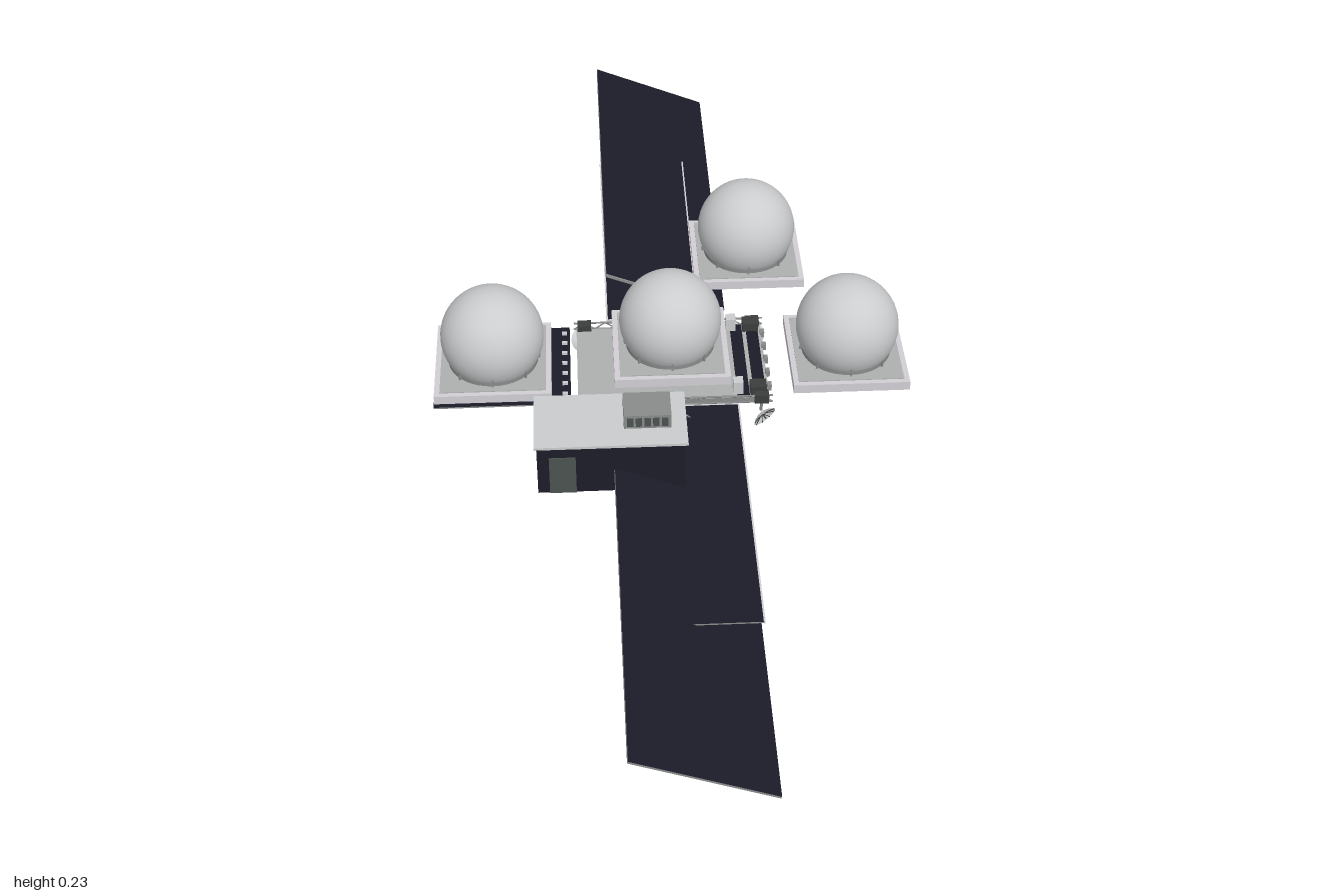
import * as THREE from 'three';

const mat = (name, color, side = THREE.FrontSide) => {
  const m = new THREE.MeshStandardMaterial({ color, side });
  m.name = name;
  return m;
};

export function createModel() {
  const root = new THREE.Group();
  root.name = 'station';
  const shell = mat('pale grey shell', 0xcaccce, THREE.DoubleSide);
  const pad = mat('pad rim grey', 0xd2cfd4);
  const plate = mat('plate grey', 0xaeb0b0);
  const steel = mat('steel grey', 0x8a8c8b);
  const dark = mat('dark grey', 0x3b3e3d);
  const navy = mat('navy panel', 0x1c1c29);
  const back = mat('panel backing', 0x50554f);
  const door = mat('door grey green', 0x4b5351);
  const brass = mat('brass', 0x8a7a50);
  const copper = mat('copper', 0xa8683a);

  const add = (parent, name, geo, material, x = 0, y = 0, z = 0) => {
    const m = new THREE.Mesh(geo, material);
    m.name = name;
    m.position.set(x, y, z);
    parent.add(m);
    return m;
  };
  const box = (parent, name, material, w, h, d, x, y, z) =>
    add(parent, name, new THREE.BoxGeometry(w, h, d), material, x, y, z);
  const rod = (parent, name, material, a, b, r) => {
    const p = new THREE.Vector3(...a), q = new THREE.Vector3(...b);
    const m = add(parent, name, new THREE.CylinderGeometry(r, r, p.distanceTo(q), 6), material);
    m.position.copy(p).add(q).multiplyScalar(0.5);
    m.quaternion.setFromUnitVectors(new THREE.Vector3(0, 1, 0), q.sub(p).normalize());
    return m;
  };
  const group = (name, x = 0, y = 0, z = 0, parent = root) => {
    const g = new THREE.Group();
    g.name = name;
    g.position.set(x, y, z);
    parent.add(g);
    return g;
  };

  // Truncated domes on square pads
  for (const [x, z] of [[-0.33, -0.003], [0, -0.035], [0.165, -0.33], [0.327, -0.003]]) {
    const g = group('domeUnit', x, 0, z);
    box(g, 'padSlab', [pad, pad, pad, plate, pad, pad], 0.214, 0.018, 0.214, 0, 0.065, 0);
    box(g, 'padTop', plate, 0.194, 0.002, 0.194, 0, 0.0745, 0);
    add(g, 'domeRing', new THREE.CylinderGeometry(0.083, 0.083, 0.018, 40), steel, 0, 0.084, 0);
    add(g, 'dome', new THREE.SphereGeometry(0.095, 48, 28, 0, Math.PI * 2, 0, 2.19), shell, 0, 0.13, 0);
    for (let i = 0; i < 8; i++) {
      const a = (i * Math.PI) / 4;
      const lug = box(g, 'ringLug', steel, 0.004, 0.022, 0.003, Math.cos(a) * 0.085, 0.086, Math.sin(a) * 0.085);
      lug.rotation.y = -a;
    }
  }

  // Central deck with a gridded underside
  const deck = group('deck');
  box(deck, 'deckPlate', [steel, steel, plate, plate, steel, steel], 0.35, 0.009, 0.22, 0, 0.0505, 0);
  box(deck, 'sideDeck', [steel, steel, navy, plate, steel, steel], 0.25, 0.003, 0.228, -0.313, 0.0555, 0);
  box(deck, 'darkDeckStrip', navy, 0.026, 0.004, 0.22, -0.203, 0.057, 0);
  for (const x of [0.128, 0.158]) box(deck, 'darkDeckStrip', navy, 0.022, 0.004, 0.21, x, 0.057, 0);
  for (let i = 0; i <= 4; i++)
    box(deck, 'underRib', dark, 0.002, 0.002, 0.22, -0.168 + i * 0.084, 0.0455, 0);
  for (let i = 0; i <= 3; i++)
    box(deck, 'underRib', dark, 0.34, 0.002, 0.002, 0, 0.0455, -0.108 + i * 0.072);
  for (let i = 0; i < 7; i++)
    box(deck, 'deckClamp', shell, 0.01, 0.006, 0.006, -0.198, 0.061, -0.09 + i * 0.03);
  for (const x of [-0.087, 0.086]) for (const z of [-0.072, 0, 0.072])
    add(deck, 'thruster', new THREE.CylinderGeometry(0.006, 0.01, 0.006, 16), copper, x, 0.042, z);
  for (const sz of [-1, 1]) {
    // Lattice rail along each long side
    for (const y of [0.05, 0.064])
      rod(deck, 'sideRail', steel, [-0.18, y, sz * 0.117], [0.18, y, sz * 0.117], 0.0018);
    for (let i = 0; i < 18; i++) {
      const x = -0.18 + i * 0.02, up = i % 2;
      rod(deck, 'railBrace', steel, [x, up ? 0.064 : 0.05, sz * 0.117], [x + 0.02, up ? 0.05 : 0.064, sz * 0.117], 0.0012);
    }
    box(deck, 'equipmentBox', shell, 0.018, 0.026, 0.02, 0.118, 0.072, sz * 0.095);
    box(deck, 'equipmentBox', dark, 0.03, 0.018, 0.025, 0.155, 0.067, sz * 0.095);
  }
  for (let i = 0; i < 5; i++)
    box(deck, 'endFitting', steel, 0.008, 0.012, 0.012, 0.177, 0.056, -0.08 + i * 0.04);

  // Spoked dishes hanging at the four corners
  for (const sx of [-1, 1]) for (const sz of [-1, 1]) {
    const x = sx * 0.16, z = sz * 0.112;
    box(root, 'dishBracket', dark, 0.026, 0.018, 0.02, x, 0.058, z);
    rod(root, 'dishArm', steel, [x, 0.055, z], [x, 0.026, z], 0.003);
    const d = group('dish', x, 0.024, z + sz * 0.006);
    d.quaternion.setFromUnitVectors(new THREE.Vector3(0, 1, 0), new THREE.Vector3(sx * 0.55, -0.4, sz * 0.72).normalize());
    const profile = [[0, 0], [0.01, 0.0015], [0.018, 0.005], [0.024, 0.01]].map((p) => new THREE.Vector2(...p));
    add(d, 'dishBowl', new THREE.LatheGeometry(profile, 24), shell);
    for (let i = 0; i < 8; i++) {
      const a = (i * Math.PI) / 4, c = Math.cos(a), s = Math.sin(a);
      rod(d, 'dishSpoke', dark, [0, 0.002, 0], [c * 0.023, 0.0105, s * 0.023], 0.0008);
    }
    rod(d, 'dishFeed', dark, [0, 0, 0], [0, 0.014, 0], 0.0015);
  }

  // Solar wings: a long tilted sheet crossed by a shorter level one, turned half round for the other end
  const faces = [steel, steel, navy, back, steel, steel];
  const tilt = -0.383;
  for (const end of [0, 1]) {
    const w = group(end ? 'rearWing' : 'frontWing', 0, 0.056, 0);
    const s = end ? -1 : 1;
    const tilted = box(w, 'tiltedPanel', faces, 0.248, 0.004, 0.783, 0, 0, s * 0.6085);
    tilted.rotation.z = tilt;
    box(w, 'levelPanel', faces, 0.174, 0.003, 0.55, s * 0.029, 0.001, s * 0.407);
    // Pale edging on the long sides and root of the sheets
    for (const x of [-0.058, 0.116])
      box(w, 'levelEdge', pad, 0.003, 0.005, 0.55, s * x, 0.001, s * 0.407);
    box(w, 'rootEdge', pad, 0.174, 0.004, 0.003, s * 0.029, 0.001, s * 0.132);
    const rootBar = box(w, 'tiltedRootBar', steel, 0.248, 0.005, 0.004, 0, 0, s * 0.217);
    rootBar.rotation.z = tilt;
    // Backing ribs below the tilted sheet
    const ribs = group('wingRibs', 0, 0, 0, w);
    ribs.rotation.z = tilt;
    for (let i = 0; i < 9; i++)
      box(ribs, 'wingRib', dark, 0.244, 0.001, 0.0015, 0, -0.0022, s * (0.26 + i * 0.088));
    // Spindle-shaped lattice joining wing and deck
    for (let i = 0; i < 6; i++) {
      const a = (i * Math.PI) / 3, x = Math.cos(a), y = Math.sin(a);
      const mid = [x * 0.028, y * 0.014, s * 0.165];
      const next = [Math.cos(a + Math.PI / 3) * 0.028, Math.sin(a + Math.PI / 3) * 0.014, s * 0.165];
      rod(w, 'boomStrut', pad, [x * 0.006, y * 0.004, s * 0.11], mid, 0.0013);
      rod(w, 'boomStrut', pad, mid, [x * 0.004, y * 0.003, s * 0.225], 0.0013);
      rod(w, 'boomHoop', steel, mid, next, 0.0013);
    }
    rod(w, 'boomCore', brass, [0, 0, s * 0.1], [0, 0, s * 0.24], 0.003);
  }

  // Cabin with door, overhanging roof and roof unit
  const cabin = group('cabin', -0.12, 0, 0.285);
  box(cabin, 'cabinWalls', navy, 0.255, 0.1, 0.132, 0, 0.105, 0);
  box(cabin, 'cabinRoof', shell, 0.264, 0.005, 0.14, 0, 0.157, 0);
  box(cabin, 'cabinDoor', door, 0.046, 0.078, 0.003, -0.084, 0.094, 0.0665);
  box(cabin, 'roofUnit', steel, 0.082, 0.028, 0.064, 0.064, 0.173, -0.006);
  for (let i = 0; i < 5; i++)
    for (const sz of [-1, 1])
      box(cabin, 'roofVent', door, 0.011, 0.018, 0.002, 0.034 + i * 0.015, 0.173, -0.006 + sz * 0.0322);

  return root;
}
